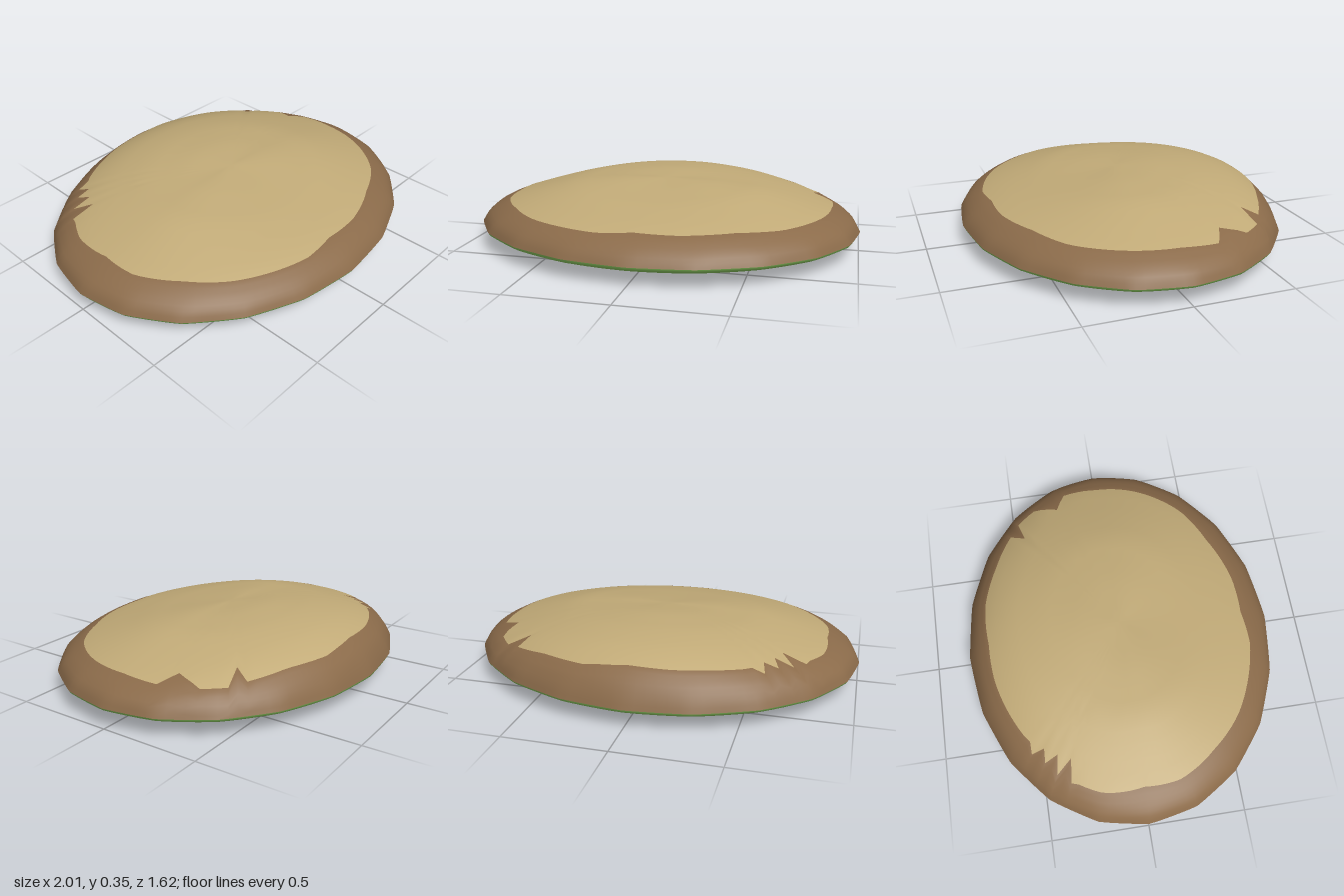
import * as THREE from 'three';

const SEG = 120, HALF_X = 0.994, HALF_Z = 0.803, RIM_Y = 0.1;

const lerpTable = (xs, ys, x) => {
  let i = 1;
  while (i < xs.length - 1 && x > xs[i]) i++;
  return THREE.MathUtils.mapLinear(x, xs[i - 1], xs[i], ys[i - 1], ys[i]);
};

// Height profiles from the centre to the rim
const R = [0, 0.25, 0.5, 0.65, 0.75, 0.87, 0.94, 0.98, 1];
const FRONT = [0.335, 0.308, 0.277, 0.251, 0.233, 0.203, 0.166, 0.132, RIM_Y];
const BACK = [0.335, 0.35, 0.339, 0.32, 0.3, 0.256, 0.2, 0.143, RIM_Y];
const SIDE = [0.335, 0.332, 0.31, 0.274, 0.246, 0.212, 0.176, 0.142, RIM_Y];

// Ragged edge of the sand: angle in degrees, share of the radius
const EDGE = [
  [0, 0.86], [20, 0.86], [41, 0.86], [57, 0.83], [76, 0.836], [90, 0.82], [102, 0.857], [130, 0.86],
  [146, 0.848], [165, 0.86], [180, 0.84], [197, 0.876], [207, 0.875], [210, 0.885], [213, 0.775], [216, 0.885],
  [219, 0.8], [222, 0.875], [225, 0.82], [228, 0.89], [231, 0.85], [234, 0.855], [257, 0.86], [270, 0.85],
  [285, 0.88], [301, 0.875], [315, 0.895], [318, 0.8], [321, 0.91], [330, 0.905], [339, 0.81], [345, 0.886], [360, 0.86],
];
const EDGE_A = EDGE.map((e) => e[0]), EDGE_R = EDGE.map((e) => e[1]);
const sandEdge = (a) => lerpTable(EDGE_A, EDGE_R, THREE.MathUtils.radToDeg(a));

function height(r, a) {
  const s = Math.sin(a) ** 2;
  return s * lerpTable(R, Math.sin(a) > 0 ? FRONT : BACK, r) + (1 - s) * lerpTable(R, SIDE, r);
}

// Small scallops around the rim
const scallop = (r, a) => 1 + 0.009 * (1 - Math.abs(Math.sin(10 * a))) * r ** 20;

// Concentric rings around a centre point; radiusAt(k, a) and heightAt(r, a) set their shape
function ringSurface(rings, radiusAt, heightAt, up) {
  const pos = [0, heightAt(0, 0), 0], index = [];
  const tri = (a, b, c) => (up ? index.push(a, c, b) : index.push(a, b, c));
  const id = (k, i) => 1 + (k - 1) * SEG + (i % SEG);
  for (let k = 1; k <= rings; k++) {
    for (let i = 0; i < SEG; i++) {
      const a = (i / SEG) * Math.PI * 2, r = radiusAt(k, a), f = r * scallop(r, a);
      pos.push(HALF_X * f * Math.cos(a), heightAt(r, a), HALF_Z * f * Math.sin(a));
    }
  }
  for (let k = 1; k <= rings; k++) {
    for (let i = 0; i < SEG; i++) {
      if (k === 1) { tri(0, id(1, i), id(1, i + 1)); continue; }
      tri(id(k - 1, i), id(k, i), id(k, i + 1));
      tri(id(k - 1, i), id(k, i + 1), id(k - 1, i + 1));
    }
  }
  const g = new THREE.BufferGeometry();
  g.setAttribute('position', new THREE.Float32BufferAttribute(pos, 3));
  g.setIndex(index);
  g.computeVertexNormals();
  return g;
}

export function createModel() {
  const material = (name, color) => {
    const m = new THREE.MeshStandardMaterial({ color });
    m.name = name;
    return m;
  };
  const sand = material('sand', 0xc2ab78);
  const soil = material('soil', 0x8b6b4a);
  const grass = material('grass', 0x98d868);
  const group = new THREE.Group();
  group.name = 'mound';

  // Upper dome: sand inside the ragged edge, soil from there to the rim
  const inner = 12, outer = 8;
  const topRadius = (k, a) => {
    const e = sandEdge(a);
    return k <= inner ? (e * k) / inner : e + (1 - e) * Math.sin(((k - inner) / outer) * Math.PI / 2);
  };
  const topGeo = ringSurface(inner + outer, topRadius, height, true);
  const sandCount = 3 * SEG * (2 * inner - 1);
  topGeo.addGroup(0, sandCount, 0);
  topGeo.addGroup(sandCount, topGeo.index.count - sandCount, 1);
  const dome = new THREE.Mesh(topGeo, [sand, soil]);
  dome.name = 'dome';

  // Shallow rounded underside
  const bowl = 14;
  const underGeo = ringSurface(
    bowl,
    (k) => Math.sin((k / bowl) * Math.PI / 2),
    (r) => RIM_Y * (1 - Math.sqrt(Math.max(0, 1 - r * r))),
    false,
  );
  const underside = new THREE.Mesh(underGeo, grass);
  underside.name = 'underside';

  group.add(dome, underside);
  return group;
}
